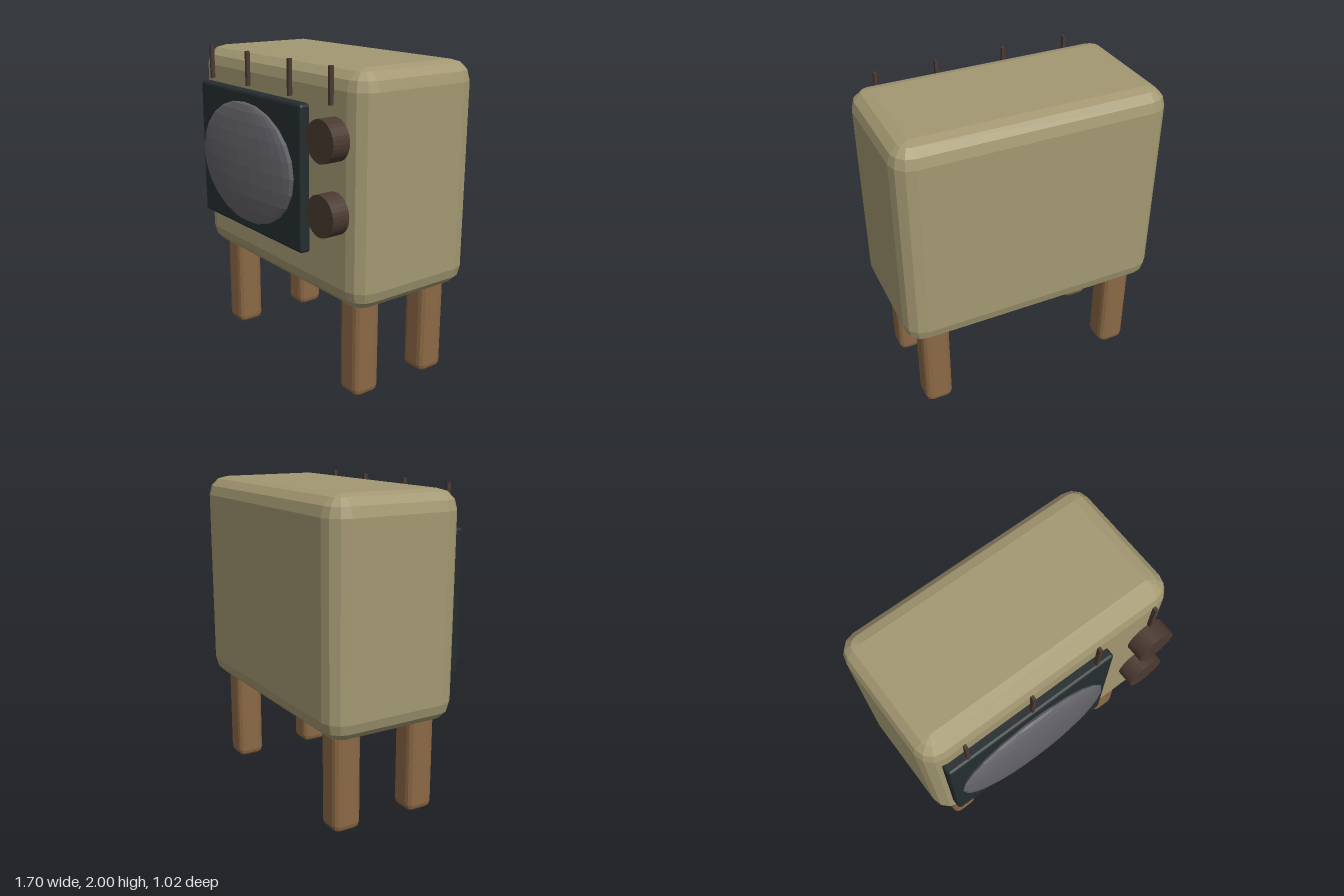
import * as THREE from 'three';
import { ConvexGeometry } from 'three/addons/geometries/ConvexGeometry.js';

const paint = (color) => new THREE.MeshStandardMaterial({ color, flatShading: true });

// Box with edges rounded by `steps` flat facets: hull of eight sphere octants
function bevelBox(w, h, d, r, steps) {
  const points = [];
  for (const sx of [-1, 1]) for (const sy of [-1, 1]) for (const sz of [-1, 1]) {
    for (let i = 0; i <= steps; i++) {
      const lat = (i / steps) * Math.PI / 2;
      for (let j = 0; j <= (i === steps ? 0 : steps); j++) {
        const lon = (j / steps) * Math.PI / 2;
        points.push(new THREE.Vector3(
          sx * (w / 2 - r + r * Math.cos(lat) * Math.cos(lon)),
          sy * (h / 2 - r + r * Math.sin(lat)),
          sz * (d / 2 - r + r * Math.cos(lat) * Math.sin(lon))));
      }
    }
  }
  return new ConvexGeometry(points);
}

export function createModel() {
  const model = new THREE.Group();
  model.name = 'television';
  const wood = paint(0x8b6845);
  const dark = paint(0x4a3a30);

  function add(name, geometry, material, x, y, z) {
    const mesh = new THREE.Mesh(geometry, material);
    mesh.name = name;
    mesh.position.set(x, y, z);
    model.add(mesh);
    return mesh;
  }

  // Cabinet
  add('cabinet', bevelBox(1.7, 1.385, 0.88, 0.122, 3), paint(0xa39872), 0, 1.293, -0.069);

  // Four legs
  const leg = bevelBox(0.182, 0.635, 0.182, 0.045, 3);
  for (const x of [-0.655, 0.65]) {
    for (const z of [0.195, -0.332]) {
      add((z > 0 ? 'front' : 'back') + (x > 0 ? 'Left' : 'Right') + 'Leg', leg, wood, x, 0.3225, z);
    }
  }

  // Screen surround and bulging screen
  add('screenFrame', bevelBox(1.145, 0.897, 0.12, 0.018, 2), paint(0x252d2f), -0.188, 1.307, 0.372);
  const screen = add('screen', new THREE.SphereGeometry(1, 24, 12), paint(0x646469), -0.188, 1.307, 0.447);
  screen.scale.set(0.522, 0.387, 0.06);

  // Control knobs
  const knob = new THREE.CylinderGeometry(0.123, 0.123, 0.112, 32).rotateX(Math.PI / 2);
  add('upperKnob', knob, dark, 0.665, 1.602, 0.449);
  add('lowerKnob', knob, dark, 0.665, 1.182, 0.449);

  // Row of thin upright rods
  const rod = new THREE.BoxGeometry(0.019, 0.212, 0.025);
  [-0.625, -0.19, 0.26, 0.648].forEach((x, i) => add('rod' + (i + 1), rod, dark, x, 1.894, 0.416));

  return model;
}
